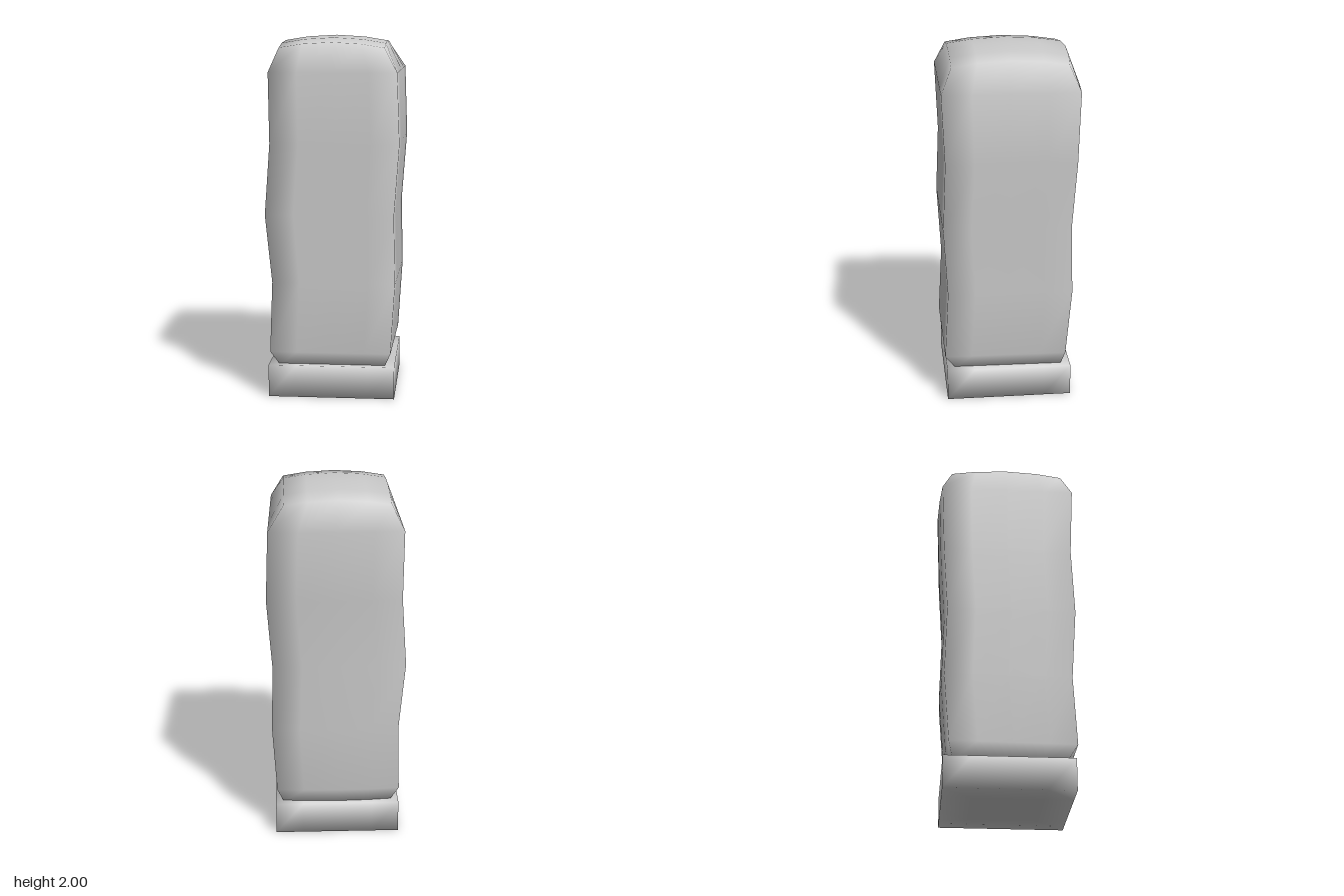
import * as THREE from 'three';
import { mergeVertices } from 'three/addons/utils/BufferGeometryUtils.js';

const material = new THREE.MeshStandardMaterial({ color: 0xcccccc });

// Heights of the pillar's rings with their extents: y, xMin, xMax, zMin, zMax
const rings = [
  [0.17, -0.31, 0.30, -0.30, 0.32],
  [0.26, -0.36, 0.337, -0.325, 0.38],
  [0.65, -0.348, 0.36, -0.355, 0.36],
  [1.03, -0.385, 0.352, -0.346, 0.38],
  [1.42, -0.358, 0.38, -0.37, 0.365],
  [1.81, -0.362, 0.366, -0.385, 0.38],
  [1.96, -0.295, 0.28, -0.33, 0.32],
];

// A gridded box with shared corners, so its shading is soft, shaped by a rule.
// u and w run from -1 to 1 across x and z; level counts up the rows.
function softBox(name, rows, rule) {
  let geometry = new THREE.BoxGeometry(2, rows, 2, 4, rows, 4);
  geometry.deleteAttribute('normal');
  geometry.deleteAttribute('uv');
  geometry = mergeVertices(geometry);
  const p = geometry.attributes.position;
  // Push the inner columns towards the edges to keep the faces flat
  const spread = (t) => (Math.abs(t) > 0.1 && Math.abs(t) < 0.9 ? Math.sign(t) * 0.56 : t);
  for (let i = 0; i < p.count; i++) {
    const level = Math.round(p.getY(i) + rows / 2);
    p.setXYZ(i, ...rule(spread(p.getX(i)), level, spread(p.getZ(i))));
  }
  geometry.computeVertexNormals();
  const mesh = new THREE.Mesh(geometry, material);
  mesh.name = name;
  return mesh;
}

const lerp = THREE.MathUtils.lerp;

export function createModel() {
  const group = new THREE.Group();
  group.name = 'stonePillar';

  // Square plinth
  group.add(softBox('plinth', 1, (u, level, w) => [
    lerp(-0.357, 0.345, (u + 1) / 2),
    level * 0.18,
    lerp(-0.337, 0.37, (w + 1) / 2),
  ]));

  // Worn pillar: wavy sides, a little wider at the back, bowed back, domed top
  group.add(softBox('pillar', rings.length - 1, (u, level, w) => {
    const [y, x0, x1, z0, z1] = rings[level];
    const taper = 1 - 0.02 * (w + 1);
    const bow = 0.018 * u * u * (1 - w) / 2;
    const top = level === rings.length - 1;
    return [
      lerp(x0, x1, (u + 1) / 2) * (top ? 1 : taper),
      top ? 2 - 0.03 * (u * u + w * w) : y,
      lerp(z0, z1, (w + 1) / 2) + bow,
    ];
  }));

  return group;
}
